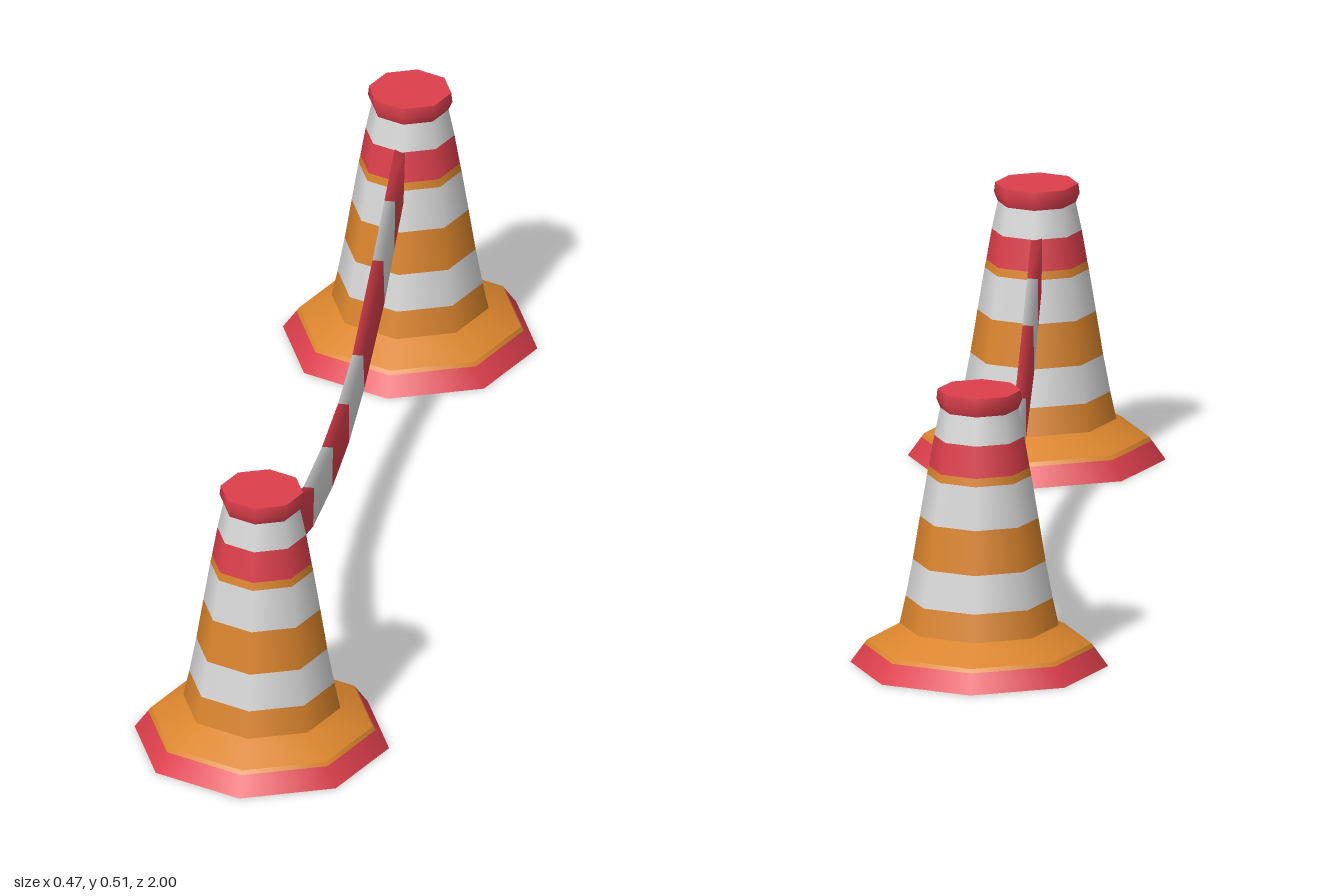
import * as THREE from 'three';

const red = new THREE.MeshStandardMaterial({ color: 0xdd3f4c });
const orange = new THREE.MeshStandardMaterial({ color: 0xdb852d });
const white = new THREE.MeshStandardMaterial({ color: 0xd9d9d9 });
red.name = 'red';
orange.name = 'orange';
white.name = 'white';

// Rings of one eight-sided cone: name, material, profile of [radius, height]
const RINGS = [
  ['baseUnderside', red, [[0, 0], [0.235, 0]]],
  ['baseRim', red, [[0.235, 0], [0.21, 0.035]]],
  ['baseEdge', orange, [[0.21, 0.035], [0.205, 0.042]]],
  ['baseSkirt', orange, [[0.205, 0.042], [0.145, 0.075]]],
  ['lowerBand', orange, [[0.145, 0.075], [0.134, 0.126]]],
  ['lowerReflector', white, [[0.134, 0.126], [0.121, 0.195]]],
  ['middleBand', orange, [[0.121, 0.195], [0.108, 0.276]]],
  ['upperReflector', white, [[0.108, 0.276], [0.095, 0.355]]],
  ['thinBand', orange, [[0.095, 0.355], [0.092, 0.37]]],
  ['tapeBand', red, [[0.092, 0.37], [0.082, 0.428]]],
  ['neck', white, [[0.082, 0.428], [0.071, 0.48]]],
  ['collar', red, [[0.071, 0.48], [0.078, 0.497], [0.076, 0.515]]],
  ['capTop', red, [[0.076, 0.515], [0, 0.515]]],
];

function makeCone(name, z) {
  const cone = new THREE.Group();
  cone.name = name;
  for (const [part, material, profile] of RINGS) {
    const points = profile.map(([r, y]) => new THREE.Vector2(r, y));
    const mesh = new THREE.Mesh(new THREE.LatheGeometry(points, 8), material);
    mesh.name = part;
    cone.add(mesh);
  }
  cone.position.z = z;
  return cone;
}

// Sagging tape: a thin strip through stations of [z top, y top, z bottom, y bottom]
function makeTape() {
  const half = [
    [0.69, 0.43, 0.68, 0.338],
    [0.583, 0.381, 0.575, 0.287],
    [0.46, 0.324, 0.473, 0.231],
    [0.253, 0.24, 0.265, 0.166],
  ];
  const stations = [
    ...half,
    [0.06, 0.219, 0.065, 0.14],
    [-0.105, 0.219, -0.105, 0.14],
    ...half.map(([zt, yt, zb, yb]) => [-zt, yt, -zb, yb]).reverse(),
  ];
  const x0 = -0.015, x1 = 0.005;
  const positions = [], index = [];
  for (const [zt, yt, zb, yb] of stations) {
    positions.push(x1, yt, zt, x1, yb, zb, x0, yb, zb, x0, yt, zt);
  }
  const geometry = new THREE.BufferGeometry();
  for (let s = 0; s < stations.length - 1; s++) {
    for (let k = 0; k < 4; k++) {
      const a = s * 4 + k, b = s * 4 + (k + 1) % 4;
      index.push(a, b, b + 4, a, b + 4, a + 4);
    }
    geometry.addGroup(s * 24, 24, s % 2); // alternate red and white
  }
  geometry.setAttribute('position', new THREE.Float32BufferAttribute(positions, 3));
  geometry.setIndex(index);
  geometry.computeVertexNormals();
  const tape = new THREE.Mesh(geometry, [red, white]);
  tape.name = 'barrierTape';
  return tape;
}

export function createModel() {
  const model = new THREE.Group();
  model.name = 'coneBarrier';
  model.add(makeCone('frontCone', 0.765), makeCone('backCone', -0.765), makeTape());
  return model;
}
